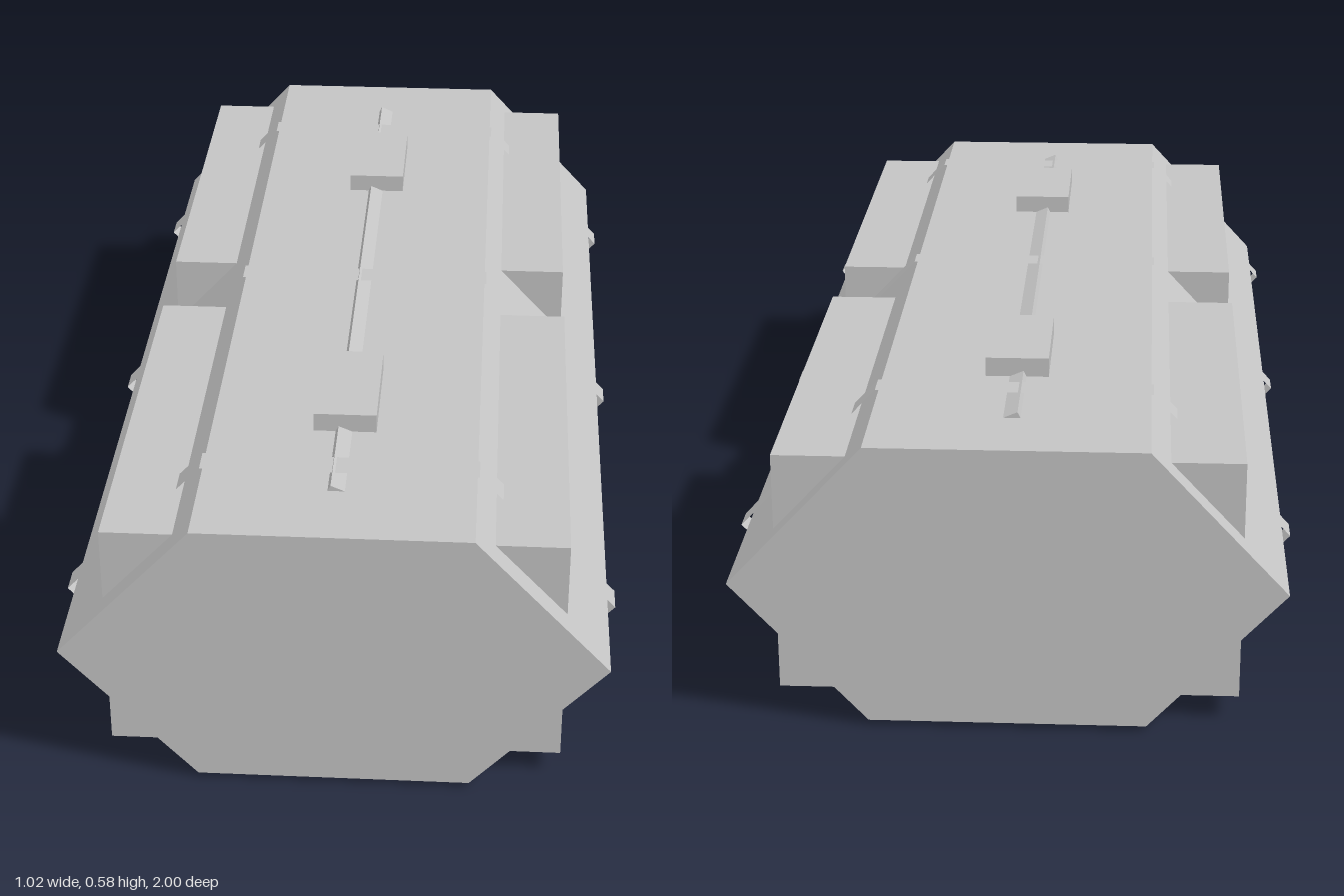
import * as THREE from 'three';

const HULL = [[0.25, 0.01], [0.497, 0.276], [0.25, 0.542], [-0.25, 0.542], [-0.497, 0.276], [-0.25, 0.01]];
const BAND = [[0.254, 0], [0.511, 0.276], [0.254, 0.551], [-0.254, 0.551], [-0.511, 0.276], [-0.254, 0]];
const RAIL = [[-0.018, 0.541], [0.016, 0.541], [-0.012, 0.553]];

// Solid prism along z from a profile
function prism(points, z0, z1) {
  const shape = new THREE.Shape(points.map(([x, y]) => new THREE.Vector2(x, y)));
  return new THREE.ExtrudeGeometry(shape, { depth: z1 - z0, bevelEnabled: false }).translate(0, 0, z0);
}

// Open flat-sided loop: outer faces only, without end caps
function loopStrip(points, z0, z1) {
  const pos = [];
  points.forEach(([ax, ay], i) => {
    const [bx, by] = points[(i + 1) % points.length];
    pos.push(ax, ay, z1, ax, ay, z0, bx, by, z0);
    pos.push(ax, ay, z1, bx, by, z0, bx, by, z1);
  });
  const geometry = new THREE.BufferGeometry();
  geometry.setAttribute('position', new THREE.Float32BufferAttribute(pos, 3));
  geometry.computeVertexNormals();
  return geometry;
}

// Box from its limits
function boxBetween(x0, x1, y0, y1, z0, z1) {
  return new THREE.BoxGeometry(x1 - x0, y1 - y0, z1 - z0)
    .translate((x0 + x1) / 2, (y0 + y1) / 2, (z0 + z1) / 2);
}

export function createModel() {
  const group = new THREE.Group();
  const grey = new THREE.MeshStandardMaterial({ color: 0xc4c4c4, side: THREE.DoubleSide });
  grey.name = 'lightGrey';
  const add = (name, geometry) => {
    const mesh = new THREE.Mesh(geometry, grey);
    mesh.name = name;
    group.add(mesh);
  };

  // Six-sided main body
  add('hull', prism(HULL, -1, 1));

  // Straps around the body
  for (const z of [-0.75, 0, 0.75]) add('strap', loopStrip(BAND, z, z + 0.053));

  // Side blocks, upper and lower, front and back
  for (const front of [true, false]) {
    const [z0, z1] = front ? [0.1, 0.95] : [-0.95, -0.1];
    const end = front ? 'Front' : 'Back';
    for (const side of [1, -1]) {
      const [x0, x1] = side > 0 ? [0.25, 0.417] : [-0.417, -0.25];
      const label = (side > 0 ? 'left' : 'right') + end;
      add(label + 'UpperBlock', boxBetween(x0, x1, 0.3, 0.504, z0, z1));
      add(label + 'LowerBlock', boxBetween(x0, x1, 0.048, 0.25, z0, z1));
    }
    // Small raised pod on the roof
    const [p0, p1] = front ? [0.403, 0.644] : [-0.644, -0.403];
    add('roofPod' + end, boxBetween(-0.059, 0.059, 0.53, 0.578, p0, p1));
  }

  // Thin rail along the roof
  add('roofRail', prism(RAIL, -0.85, 0.85));
  return group;
}
